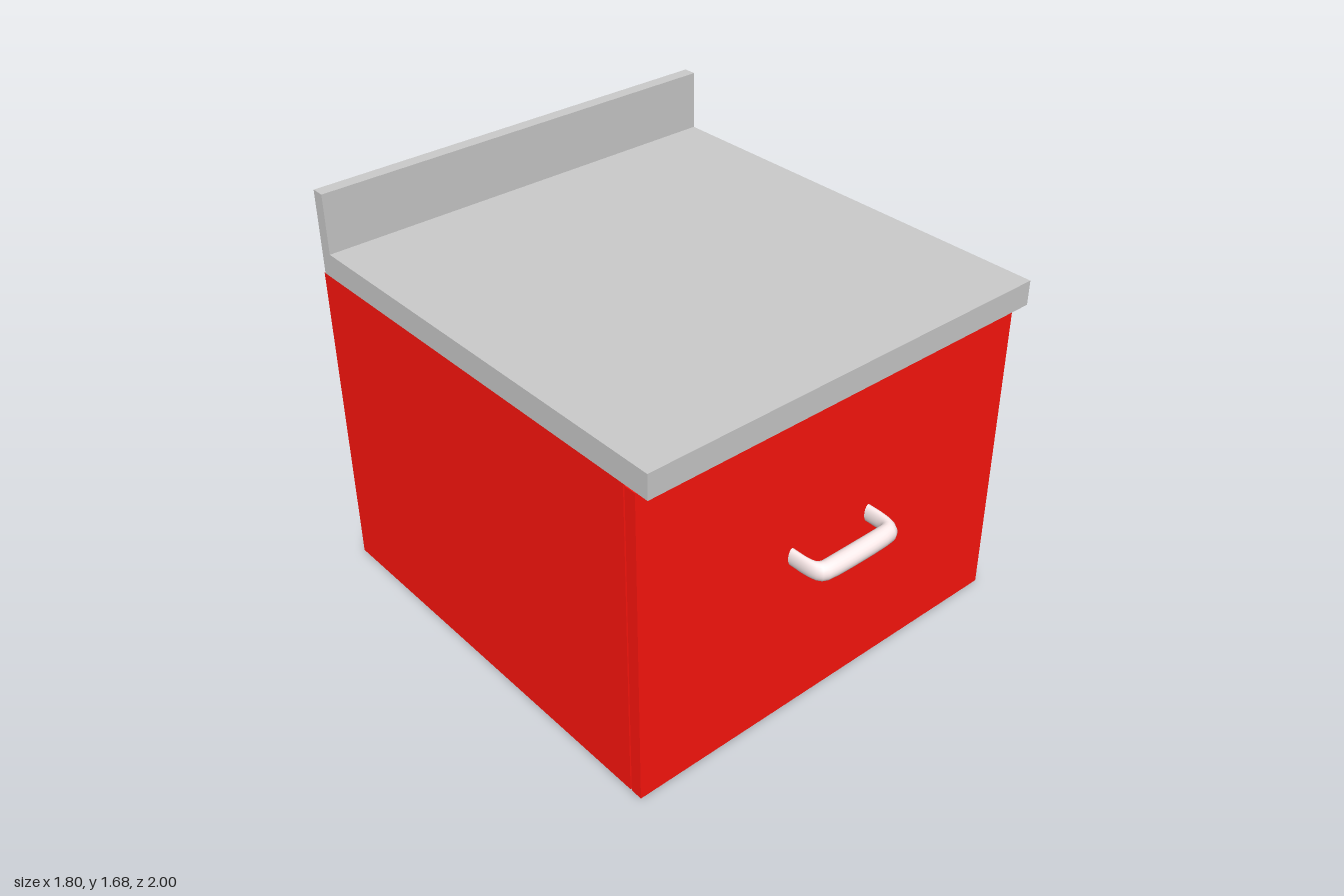
import * as THREE from 'three';

const red = new THREE.MeshStandardMaterial({ color: 0xff150e });
const grey = new THREE.MeshStandardMaterial({ color: 0xcccccc });
const pale = new THREE.MeshStandardMaterial({ color: 0xffeeee });

function part(name, geometry, material) {
  const mesh = new THREE.Mesh(geometry, material);
  mesh.name = name;
  return mesh;
}

// Box given by its height range and depth range, full cabinet width
function panel(name, y0, y1, z0, z1) {
  const g = new THREE.BoxGeometry(1.8, y1 - y0, z1 - z0);
  g.translate(0, (y0 + y1) / 2, (z0 + z1) / 2);
  return part(name, g, red);
}

// Bow handle: elliptical rings between an outer and an inner outline
function handleGeometry() {
  // outer x, outer z, inner x, inner z
  const half = [
    [0.21, 0.825, 0.175, 0.825], [0.21, 0.89, 0.174, 0.89],
    [0.207, 0.93, 0.171, 0.908], [0.2, 0.96, 0.167, 0.917],
    [0.187, 0.981, 0.16, 0.923], [0.165, 0.993, 0.15, 0.925],
    [0.12, 0.998, 0.12, 0.925], [0.05, 1, 0.05, 0.925],
  ];
  const mirrored = half.map(([a, b, c, d]) => [-a, b, -c, d]).reverse();
  const rings = [...half, ...mirrored];
  const sides = 20, pos = [], idx = [];
  rings.forEach(([ox, oz, ix, iz], r) => {
    for (let s = 0; s < sides; s++) {
      const t = (s / sides) * Math.PI * 2;
      const k = (1 + Math.cos(t)) / 2;
      pos.push(ix + (ox - ix) * k, 0.0375 * Math.sin(t), iz + (oz - iz) * k);
      if (r < rings.length - 1) {
        const a = r * sides + s, b = r * sides + (s + 1) % sides;
        idx.push(a, b, a + sides, b, b + sides, a + sides);
      }
    }
  });
  const g = new THREE.BufferGeometry();
  g.setAttribute('position', new THREE.Float32BufferAttribute(pos, 3));
  g.setIndex(idx);
  g.computeVertexNormals();
  return g.translate(-0.01, 0.713, 0);
}

export function createModel() {
  const model = new THREE.Group();
  model.name = 'cabinet';

  // Carcass and the door, with a narrow gap between them
  model.add(panel('carcass', 0, 1.335, -1, 0.773));
  model.add(panel('door', 0, 1.33, 0.78, 0.83));

  // Worktop and backsplash as one L-shaped profile
  const profile = new THREE.Shape([
    [-0.89, 1.335], [0.993, 1.335], [0.993, 1.68],
    [0.938, 1.68], [0.938, 1.435], [-0.89, 1.435],
  ].map(([x, y]) => new THREE.Vector2(x, y)));
  const top = new THREE.ExtrudeGeometry(profile, { depth: 1.8, bevelEnabled: false });
  top.rotateY(Math.PI / 2).translate(-0.9, 0, 0);
  model.add(part('worktop', top, grey));

  model.add(part('handle', handleGeometry(), pale));
  return model;
}
